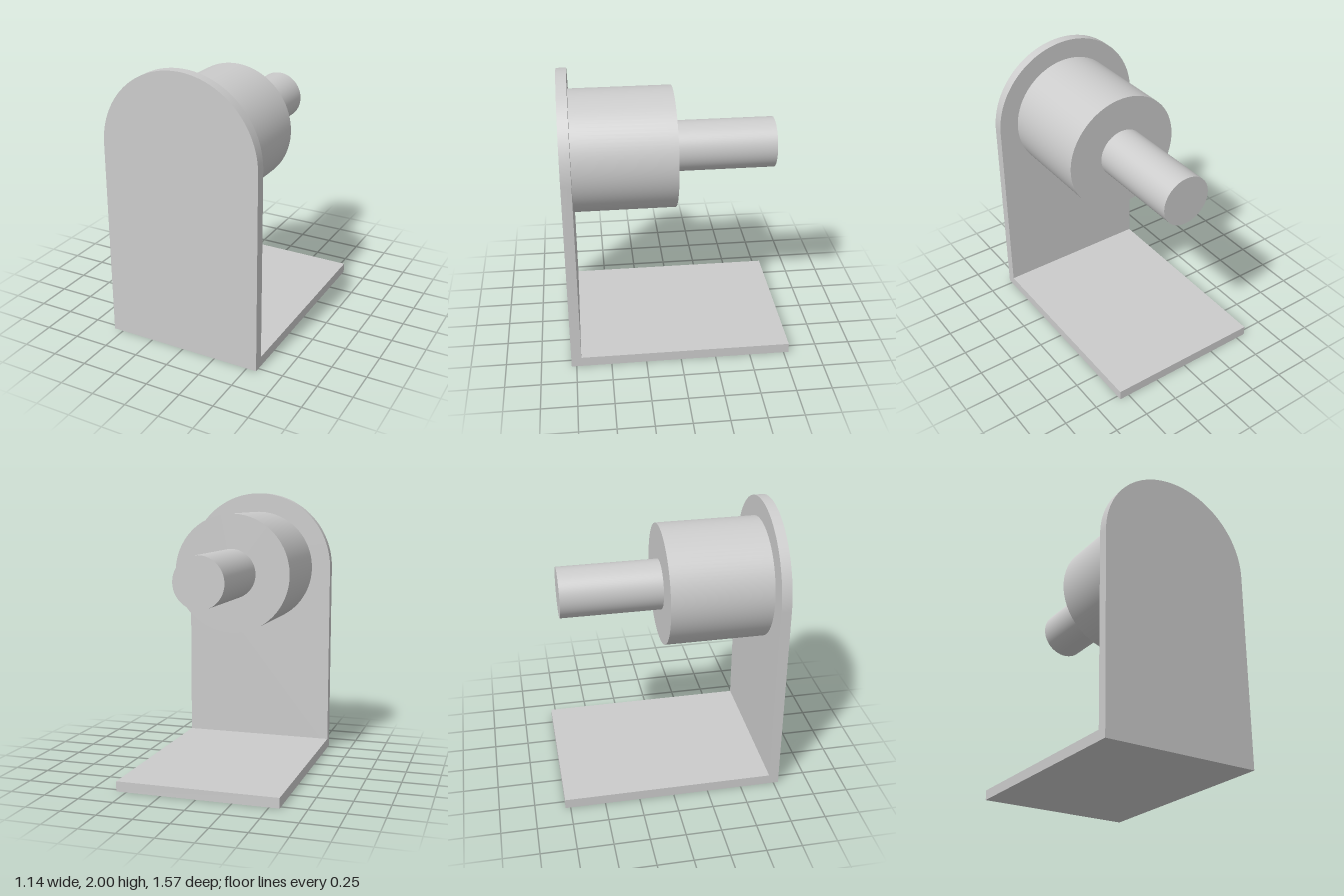
import * as THREE from 'three';
import { toCreasedNormals } from 'three/addons/utils/BufferGeometryUtils.js';

const U = 1 / 14; // base unit: plate thickness
const HALF_W = 8 * U, HALF_D = 11 * U, AXIS_Y = 20 * U;

export function createModel() {
  const group = new THREE.Group();
  const material = new THREE.MeshStandardMaterial({ color: 0xcccccc });

  function add(name, geometry, x, y, z) {
    const mesh = new THREE.Mesh(geometry, material);
    mesh.name = name;
    mesh.position.set(x, y, z);
    group.add(mesh);
  }

  // Upright plate with a semicircular top
  const arch = new THREE.Shape();
  arch.moveTo(-HALF_W, 0);
  arch.lineTo(HALF_W, 0);
  arch.lineTo(HALF_W, AXIS_Y);
  arch.absarc(0, AXIS_Y, HALF_W, 0, Math.PI, false);
  arch.closePath();
  const plate = new THREE.ExtrudeGeometry(arch, { depth: U, bevelEnabled: false, curveSegments: 64 });
  add('uprightPlate', toCreasedNormals(plate, 0.5), 0, 0, HALF_D - U);

  // Base plate, butting against the back of the upright
  add('basePlate', new THREE.BoxGeometry(2 * HALF_W, U, 2 * HALF_D - U), 0, U / 2, -U / 2);

  // Drum and shaft share one axis along z
  const cylinder = (radius) => new THREE.CylinderGeometry(radius, radius, 10 * U, 96).rotateX(Math.PI / 2);
  add('drum', cylinder(6 * U), 0, AXIS_Y, 5 * U);
  add('shaft', cylinder(2.5 * U), 0, AXIS_Y, -5 * U);

  return group;
}
